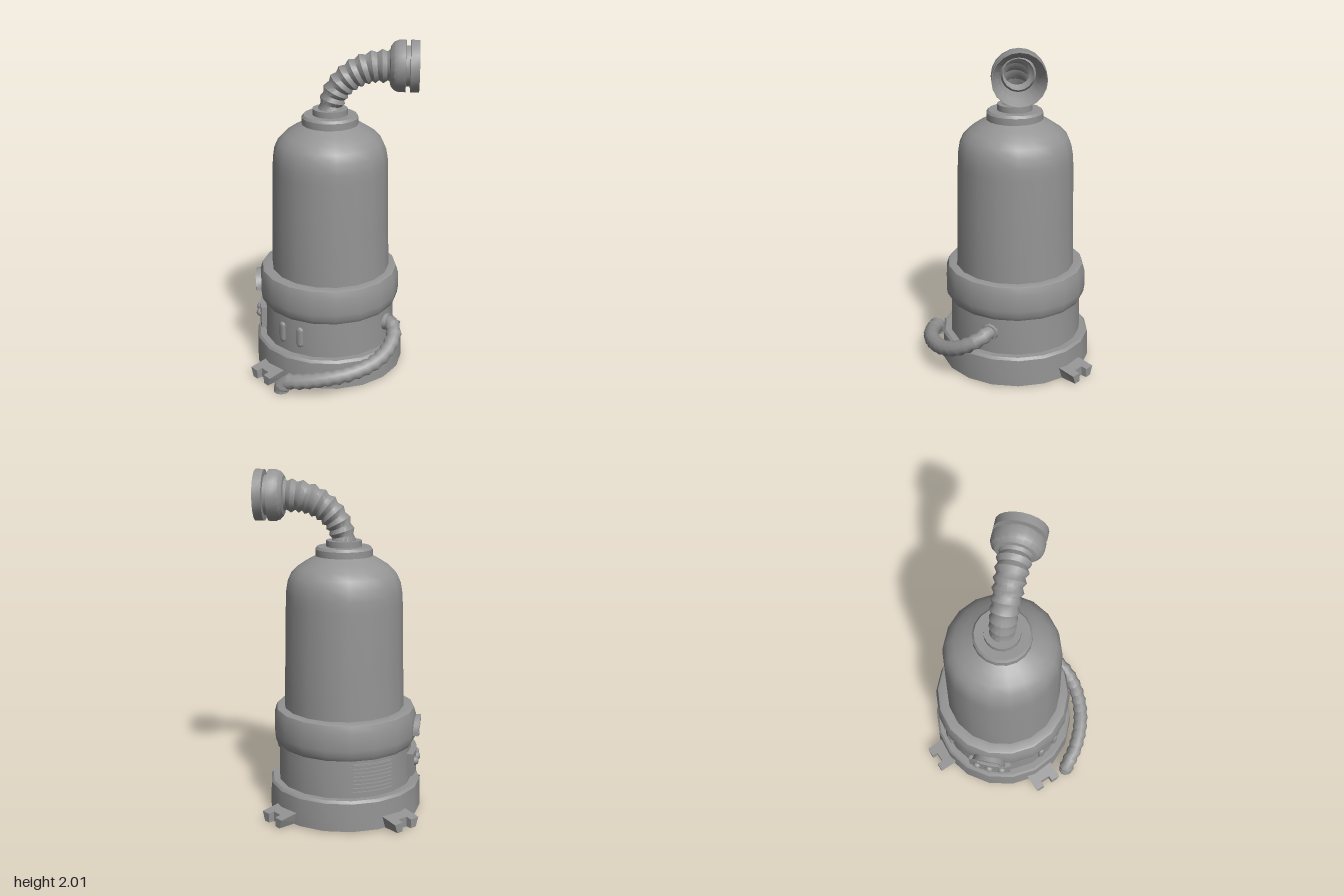
import * as THREE from 'three';
import { toCreasedNormals } from 'three/addons/utils/BufferGeometryUtils.js';

const SIDES = 18;
const AXIS_X = -0.028, AXIS_Z = -0.063;

const solid = new THREE.MeshStandardMaterial({ color: 0x949494 });
const shell = new THREE.MeshStandardMaterial({ color: 0x949494, side: THREE.DoubleSide });

function add(parent, name, geometry, x = 0, y = 0, z = 0, material = solid) {
  const mesh = new THREE.Mesh(geometry, material);
  mesh.name = name;
  mesh.position.set(x, y, z);
  parent.add(mesh);
  return mesh;
}

// Group on the body axis, turned so that its +z points outwards at the given angle
function side(parent, name, angle) {
  const group = new THREE.Group();
  group.name = name;
  group.rotation.y = angle;
  parent.add(group);
  return group;
}

// Revolved part from [radius, height] pairs, with sharp edges kept sharp
function turned(profile, sides = SIDES, crease = 0.55) {
  const points = profile.map(([r, y]) => new THREE.Vector2(r, y));
  return toCreasedNormals(new THREE.LatheGeometry(points, sides, Math.PI / 2), crease);
}

// Bends a geometry round the body: x becomes arc length, z becomes radius
function wrap(geometry, radius) {
  const pos = geometry.attributes.position;
  for (let i = 0; i < pos.count; i++) {
    const a = pos.getX(i) / radius, r = pos.getZ(i);
    pos.setXYZ(i, r * Math.sin(a), pos.getY(i), r * Math.cos(a));
  }
  return toCreasedNormals(geometry, 0.5);
}

// Curved plate between two radii
function plate(width, height, inner, outer) {
  const box = new THREE.BoxGeometry(width, height, outer - inner, 6, 1, 1);
  return wrap(box.translate(0, 0, (inner + outer) / 2), outer);
}

// Corrugated hose: every second ring of the tube is drawn in
function hose(points, ridges, startRadius, endRadius, pinch, sides) {
  const curve = new THREE.CatmullRomCurve3(points.map(p => new THREE.Vector3(...p)));
  const rings = ridges * 2;
  const geometry = new THREE.TubeGeometry(curve, rings, 1, sides);
  const pos = geometry.attributes.position;
  const v = new THREE.Vector3();
  for (let i = 0; i <= rings; i++) {
    const centre = curve.getPointAt(i / rings);
    const radius = THREE.MathUtils.lerp(startRadius, endRadius, i / rings) * (i % 2 ? 1 : pinch);
    for (let j = 0; j <= sides; j++) {
      const k = i * (sides + 1) + j;
      v.fromBufferAttribute(pos, k).sub(centre).multiplyScalar(radius).add(centre);
      pos.setXYZ(k, v.x, v.y, v.z);
    }
  }
  return toCreasedNormals(geometry, 0.85);
}

// Notched foot pointing along +z; its top falls outwards and its sides draw in at the ground
function footGeometry() {
  const shape = new THREE.Shape([
    [-0.091, -0.41], [0.091, -0.41], [0.091, -0.548], [0.032, -0.548],
    [0.032, -0.512], [-0.032, -0.512], [-0.032, -0.548], [-0.091, -0.548],
  ].map(([x, y]) => new THREE.Vector2(x, y)));
  const geometry = new THREE.ExtrudeGeometry(shape, { depth: 0.07, bevelEnabled: false });
  geometry.rotateX(-Math.PI / 2);
  const pos = geometry.attributes.position;
  for (let i = 0; i < pos.count; i++) {
    if (pos.getY(i) > 0.01) pos.setY(i, 0.075 - (pos.getZ(i) - 0.41) * 0.15);
    else if (Math.abs(pos.getX(i)) > 0.05) pos.setX(i, pos.getX(i) * 0.78);
  }
  geometry.computeVertexNormals();
  return geometry;
}

export function createModel() {
  const model = new THREE.Group();
  model.name = 'tankWithHoses';

  // Hollow body
  const body = new THREE.Group();
  body.name = 'body';
  body.position.set(AXIS_X, 0, AXIS_Z);
  model.add(body);
  add(body, 'baseRing', turned([
    [0.35, 0.17], [0.35, 0], [0.455, 0], [0.45, 0.165], [0.437, 0.18], [0.38, 0.18],
  ]), 0, 0, 0, shell);
  add(body, 'lowerBand', turned([[0.4, 0.17], [0.394, 0.42]]), 0, 0, 0, shell);
  add(body, 'upperRing', turned([
    [0.37, 0.405], [0.405, 0.405], [0.42, 0.43], [0.426, 0.47], [0.424, 0.57], [0.41, 0.615], [0.4, 0.62], [0.34, 0.62],
  ]), 0, 0, 0, shell);
  add(body, 'dome', turned([
    [0.356, 0.61], [0.349, 0.92], [0.342, 1.24], [0.339, 1.3], [0.329, 1.36], [0.307, 1.41],
    [0.27, 1.448], [0.217, 1.483], [0.15, 1.52],
  ]), 0.008, 0, 0.003, shell);
  add(body, 'collar', turned([
    [0.155, 1.5], [0.166, 1.508], [0.166, 1.55], [0.155, 1.565], [0.103, 1.565], [0.103, 1.6], [0.05, 1.6],
  ]), 0.008, 0, 0.006, shell);

  // Notched feet on three diagonals
  const foot = footGeometry();
  [-0.75, -0.25, 0.75].forEach(turn => {
    add(body, 'foot', foot).rotation.y = turn * Math.PI;
  });

  // Louvred vent at the back
  const vent = side(body, 'vent', -0.84 * Math.PI);
  add(vent, 'ventPlate', plate(0.25, 0.18, 0.39, 0.4), 0, 0.295, 0);
  for (let i = 0; i < 8; i++) {
    add(vent, 'ventSlat', plate(0.25, 0.011, 0.39, 0.412), 0, 0.215 + i * 0.023, 0);
  }

  // Control panel with three knobs, on the -x side
  const panel = side(body, 'controlPanel', -Math.PI / 2);
  add(panel, 'panelPlate', plate(0.28, 0.135, 0.392, 0.43), 0, 0.295, 0);
  for (const a of [-0.19, 0, 0.19]) {
    add(panel, 'knob', new THREE.SphereGeometry(0.026, 10, 8), Math.sin(a) * 0.428, 0.305, Math.cos(a) * 0.428);
  }

  // Half-round gauge above the panel
  const arch = new THREE.Shape();
  arch.absellipse(0, 0, 0.108, 0.098, 0, Math.PI);
  arch.absellipse(0, 0, 0.076, 0.066, Math.PI, 0, true);
  const archGeometry = new THREE.ExtrudeGeometry(arch, { depth: 0.048, bevelEnabled: false, curveSegments: 8 });
  add(panel, 'gaugeArch', wrap(archGeometry.translate(0, 0, 0.404), 0.45), 0, 0.465, 0);

  // Raised pill-shaped lights on the front
  for (const x of [-0.285, -0.175]) {
    const angle = Math.asin((x - AXIS_X) / 0.403);
    const light = side(body, 'pillLight', angle);
    add(light, 'pill', new THREE.CapsuleGeometry(0.023, 0.085, 4, 10), 0, 0.298, 0.402).scale.z = 0.6;
  }

  // Top hose and its open nozzle
  add(model, 'topHose', hose([
    [-0.02, 1.57, -0.057], [-0.012, 1.63, -0.057], [0.02, 1.71, -0.057], [0.09, 1.785, -0.057],
    [0.2, 1.84, -0.057], [0.36, 1.855, -0.057],
  ], 10, 0.071, 0.102, 0.83, 16), 0, 0, 0, shell);
  const nozzle = turned([
    [0.09, 0.32], [0.115, 0.325], [0.138, 0.345], [0.1475, 0.37], [0.1475, 0.41], [0.115, 0.412], [0.115, 0.434],
    [0.1475, 0.436], [0.1475, 0.487], [0.144, 0.487], [0.107, 0.425], [0.1, 0.36], [0.09, 0.32],
  ], 20, 0.5);
  add(model, 'nozzle', nozzle, 0, 1.8525, -0.058, shell).rotation.z = -Math.PI / 2;

  // Side hose running down around the front
  add(model, 'sideHose', hose([
    [0.3, 0.31, 0.085], [0.355, 0.312, 0.12], [0.378, 0.28, 0.18], [0.35, 0.225, 0.27], [0.27, 0.175, 0.36],
    [0.14, 0.14, 0.43], [0, 0.115, 0.46], [-0.15, 0.085, 0.455], [-0.25, 0.062, 0.43], [-0.285, 0.014, 0.422],
  ], 17, 0.048, 0.05, 0.82, 10), 0, 0, 0, shell);
  const socket = add(model, 'sideHoseSocket', new THREE.CylinderGeometry(0.05, 0.055, 0.04, 12), 0.328, 0.312, 0.1);
  socket.rotation.set(0, -0.43, -Math.PI / 2);
  add(model, 'sideHosePlug', new THREE.CylinderGeometry(0.044, 0.046, 0.03, 12), -0.277, 0.015, 0.422);

  return model;
}
